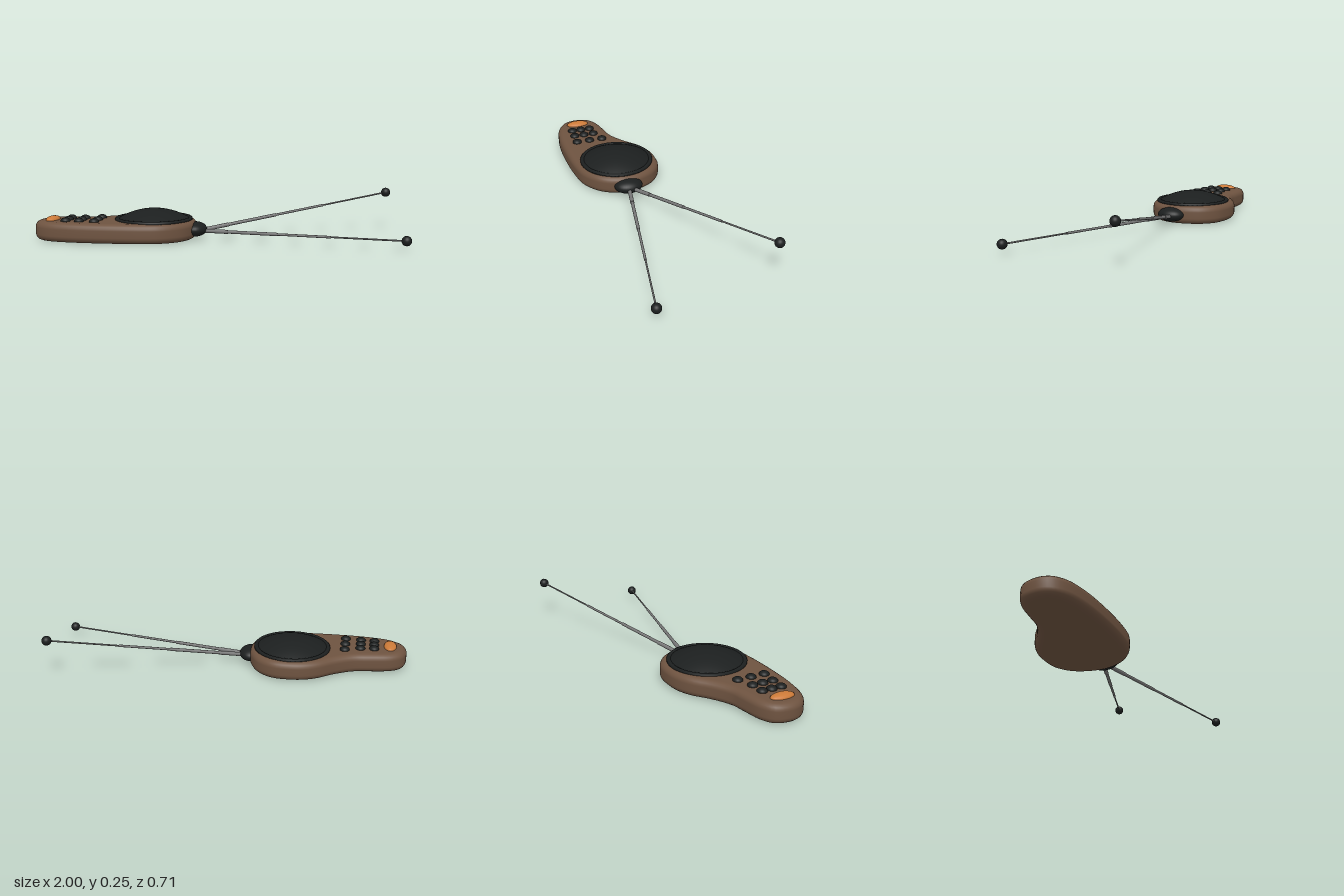
import * as THREE from 'three';
import { mergeVertices } from 'three/addons/utils/BufferGeometryUtils.js';

const mat = (color) => new THREE.MeshStandardMaterial({ color });

export function createModel() {
  const model = new THREE.Group();
  const brown = mat(0x6e5340), black = mat(0x1c1f1f), steel = mat(0x777777), orange = mat(0xcc7a38);

  const add = (name, geometry, material, x = 0, y = 0, z = 0, parent = model) => {
    const mesh = new THREE.Mesh(geometry, material);
    mesh.name = name;
    mesh.position.set(x, y, z);
    parent.add(mesh);
    return mesh;
  };

  // Body: outline in x and z, extruded upward with rounded edges
  const outline = [
    [-1, 0.2], [-0.98, 0.115], [-0.917, 0.07], [-0.8, 0.045], [-0.72, 0.03], [-0.62, -0.025],
    [-0.53, -0.095], [-0.45, -0.13], [-0.37, -0.14], [-0.28, -0.13], [-0.2, -0.077], [-0.155, 0],
    [-0.135, 0.09], [-0.15, 0.18], [-0.195, 0.255], [-0.29, 0.32], [-0.4, 0.342], [-0.61, 0.352],
    [-0.8, 0.343], [-0.917, 0.315], [-0.98, 0.265],
  ].map(([x, z]) => new THREE.Vector3(x, -z, 0));
  const curve = new THREE.CatmullRomCurve3(outline, true);
  const shape = new THREE.Shape(curve.getPoints(80).slice(0, -1).map((p) => new THREE.Vector2(p.x, p.y)));
  let body = new THREE.ExtrudeGeometry(shape, {
    depth: 0.037, bevelThickness: 0.034, bevelSize: 0.036, bevelOffset: -0.036, bevelSegments: 5,
  });
  body.rotateX(-Math.PI / 2);
  body.translate(0, 0.034, 0);
  body.deleteAttribute('uv');
  body.deleteAttribute('normal');
  body = mergeVertices(body, 1e-4);
  body.computeVertexNormals();
  add('body', body, brown);

  // Domed pad with a low rim
  const rim = [[0.185, 0], [0.211, 0], [0.211, 0.009], [0.206, 0.014], [0.197, 0.015], [0.188, 0.01]]
    .map(([r, y]) => new THREE.Vector2(r, y));
  add('padRim', new THREE.LatheGeometry(rim, 48), black, -0.37, 0.102, 0.098);
  const dome = [];
  for (let i = 0; i <= 12; i++) {
    const r = 0.193 * (1 - i / 12);
    dome.push(new THREE.Vector2(r, 0.052 * (1 - (r / 0.193) ** 2)));
  }
  add('padDome', new THREE.LatheGeometry(dome, 48), black, -0.37, 0.111, 0.098);

  // Keypad: three columns of three round buttons
  const button = new THREE.SphereGeometry(1, 20, 12);
  const keypad = new THREE.Group();
  keypad.name = 'keypad';
  model.add(keypad);
  for (const [x, middle, step] of [[-0.82, 0.197, 0.055], [-0.745, 0.196, 0.059], [-0.66, 0.183, 0.078]]) {
    for (let i = -1; i <= 1; i++) {
      add('keypadButton', button, black, x, 0.107, middle + i * step, keypad).scale.set(0.027, 0.018, 0.027);
    }
  }
  add('powerButton', button, orange, -0.908, 0.106, 0.197).scale.set(0.035, 0.019, 0.067);

  // Socket holding the antennas
  add('antennaSocket', new THREE.SphereGeometry(1, 32, 20), black, -0.14, 0.053, 0.095).scale.set(0.063, 0.04, 0.081);

  // Telescopic antennas with ball tips
  const stops = [0, 0.14, 0.39, 0.65, 1], radii = [0.011, 0.009, 0.0067, 0.0045];
  const addAntenna = (name, from, to) => {
    const antenna = new THREE.Group();
    antenna.name = name;
    model.add(antenna);
    const direction = to.clone().sub(from);
    const length = direction.length();
    antenna.position.copy(from);
    antenna.quaternion.setFromUnitVectors(new THREE.Vector3(0, 1, 0), direction.normalize());
    radii.forEach((r, i) => {
      const size = (stops[i + 1] - stops[i]) * length;
      const y = (stops[i] + stops[i + 1]) * length / 2;
      add('antennaSection', new THREE.CylinderGeometry(r, r, size, 14), steel, 0, y, 0, antenna);
    });
    add('antennaTip', new THREE.SphereGeometry(0.026, 24, 16), black, 0, length, 0, antenna);
  };
  addAntenna('backAntenna', new THREE.Vector3(-0.11, 0.045, 0.08), new THREE.Vector3(0.896, 0.221, -0.33));
  addAntenna('frontAntenna', new THREE.Vector3(-0.11, 0.045, 0.1), new THREE.Vector3(0.973, 0.05, 0.308));

  return model;
}
